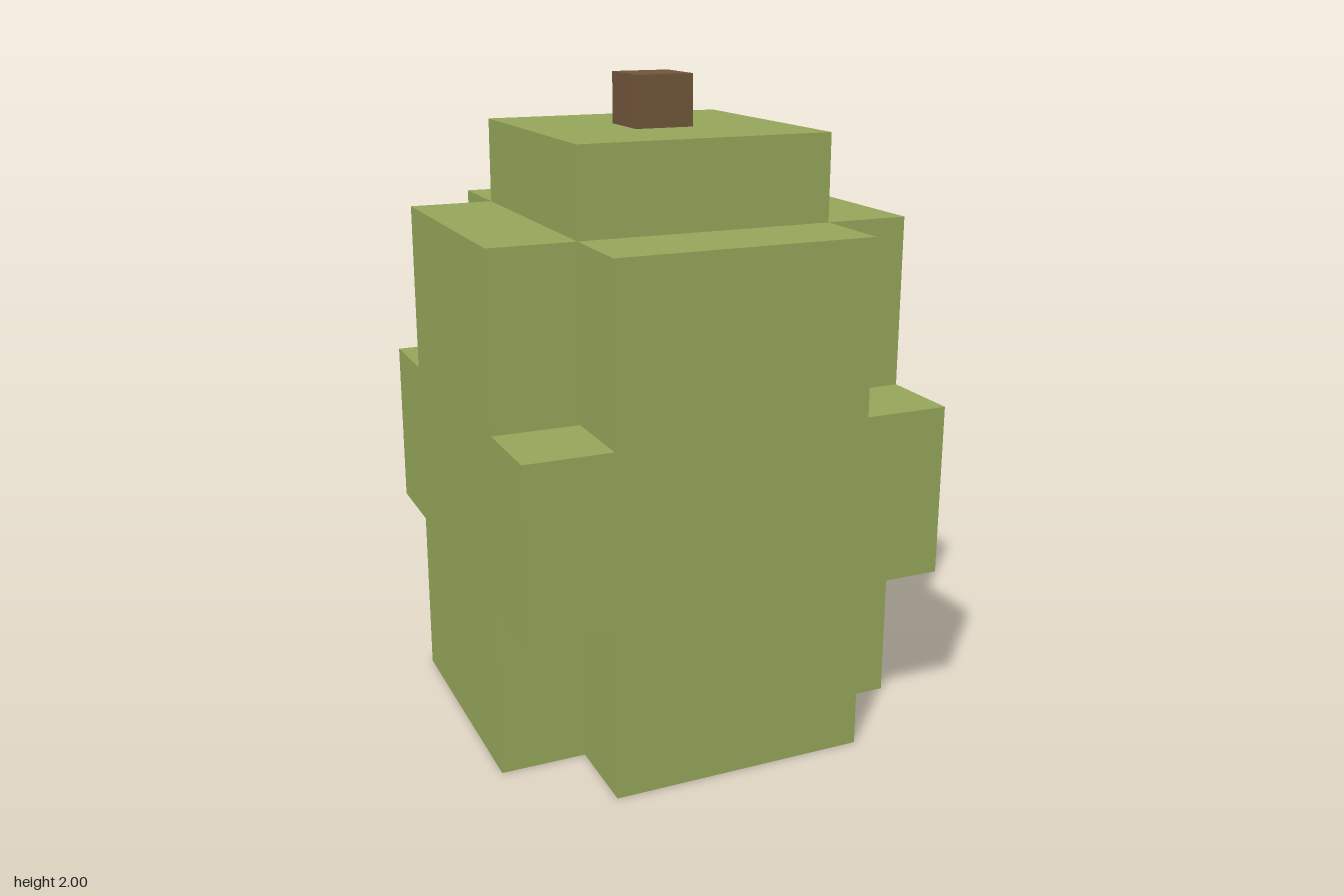
import * as THREE from 'three';

export function createModel() {
  const model = new THREE.Group();
  model.name = 'blockFruit';

  const green = new THREE.MeshStandardMaterial({ color: 0x94a55a });
  green.name = 'olive green';
  const brown = new THREE.MeshStandardMaterial({ color: 0x70553a });
  brown.name = 'stem brown';

  const U = 0.2633;      // one block
  const W = 2.5 * U;     // half width of the body
  const C = 1.5 * U;     // half width inside the corner notches

  function add(name, geometry, material, y) {
    const mesh = new THREE.Mesh(geometry, material);
    mesh.name = name;
    mesh.position.y = y;
    model.add(mesh);
  }

  // Square block standing on y
  function block(name, half, y0, y1, material) {
    add(name, new THREE.BoxGeometry(2 * half, y1 - y0, 2 * half), material, (y0 + y1) / 2);
  }

  // Cross-shaped layer: a square with its four corners notched out
  function notchedLayer(name, y0, y1) {
    const outline = [
      [C, -W], [C, -C], [W, -C], [W, C], [C, C], [C, W],
      [-C, W], [-C, C], [-W, C], [-W, -C], [-C, -C], [-C, -W],
    ].map(([x, z]) => new THREE.Vector2(x, z));
    const geometry = new THREE.ExtrudeGeometry(new THREE.Shape(outline), {
      depth: y1 - y0, bevelEnabled: false,
    });
    geometry.rotateX(-Math.PI / 2);
    add(name, geometry, green, y0);
  }

  // Body layers from the ground up
  notchedLayer('lowerBody', 0, 2 * U);
  block('middleBody', W, 2 * U, 4 * U, green);
  notchedLayer('upperBody', 4 * U, 6 * U);
  block('crown', C, 6 * U, 7 * U, green);

  // Stem
  block('stem', 0.0925, 7 * U, 2, brown);

  return model;
}
